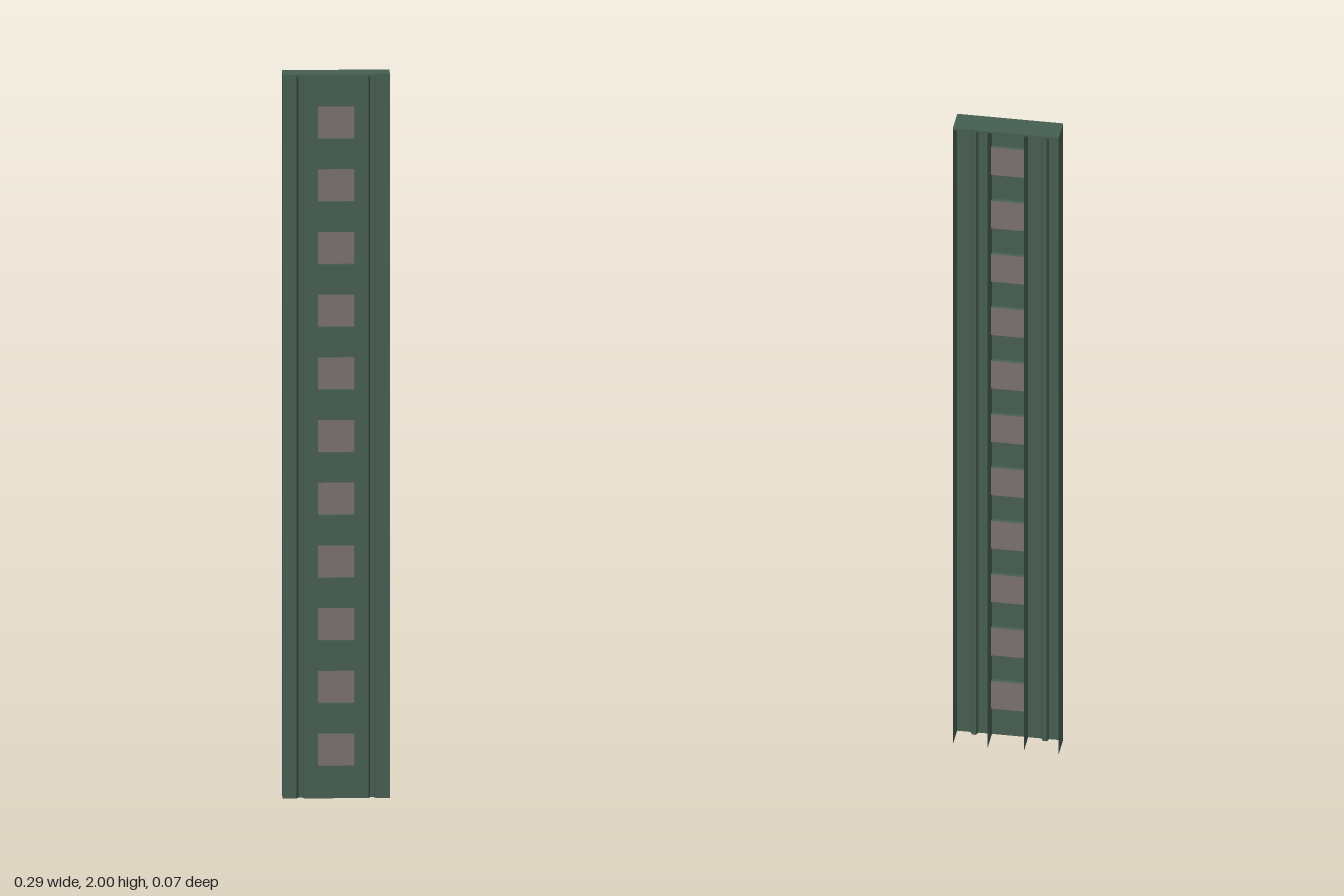
import * as THREE from 'three';

const W = 0.146, BACK = -0.037, FRONT = 0.033, LIP = 0.036, H = 2;
const RIB = 0.05, PANE_Z = 0.022, PANE_H = 0.09, COUNT = 11, FIRST = 0.134, STEP = 0.1732;

const green = new THREE.MeshStandardMaterial({ color: 0x465e52, side: THREE.DoubleSide, flatShading: true });
const glass = new THREE.MeshStandardMaterial({ color: 0x7a7070, side: THREE.DoubleSide, flatShading: true });

// Upright sheet following a list of [x, z] points
function sheet(points) {
  const pos = [];
  for (let i = 0; i < points.length - 1; i++) {
    const [ax, az] = points[i], [bx, bz] = points[i + 1];
    pos.push(ax, 0, az, bx, 0, bz, bx, H, bz, ax, 0, az, bx, H, bz, ax, H, az);
  }
  const g = new THREE.BufferGeometry();
  g.setAttribute('position', new THREE.Float32BufferAttribute(pos, 3));
  g.computeVertexNormals();
  return g;
}

export function createModel() {
  const model = new THREE.Group();
  const add = (name, geometry, material = green, parent = model) => {
    const mesh = new THREE.Mesh(geometry, material);
    mesh.name = name;
    parent.add(mesh);
    return mesh;
  };

  // Centre plate with a column of openings
  const plate = new THREE.Shape();
  plate.moveTo(-0.087, 0).lineTo(0.087, 0).lineTo(0.087, H).lineTo(-0.087, H).closePath();
  const rows = Array.from({ length: COUNT }, (_, i) => FIRST + i * STEP);
  for (const y of rows) {
    const lo = y - PANE_H / 2, hi = y + PANE_H / 2;
    const hole = new THREE.Path();
    hole.moveTo(-RIB, lo).lineTo(-RIB, hi).lineTo(RIB, hi).lineTo(RIB, lo).closePath();
    plate.holes.push(hole);
  }
  add('frontPlate', new THREE.ShapeGeometry(plate)).position.z = FRONT;

  // Edge strips with a groove, outer flanges and inner ribs
  for (const [side, s] of [['left', 1], ['right', -1]]) {
    add(side + 'Flange', sheet([
      [s * 0.087, FRONT], [s * 0.092, FRONT - 0.012], [s * 0.103, FRONT - 0.012],
      [s * 0.108, FRONT], [s * W, FRONT], [s * W, BACK],
    ]));
    add(side + 'Rib', sheet([[s * RIB, FRONT], [s * RIB, BACK]]));
  }

  // Recessed panes with a sill above and below
  const depth = FRONT - PANE_Z;
  rows.forEach((y, i) => {
    const window = new THREE.Group();
    window.name = 'window' + (i + 1);
    window.position.y = y;
    add('pane', new THREE.PlaneGeometry(RIB * 2, PANE_H), glass, window).position.z = PANE_Z;
    for (const s of [1, -1]) {
      const sill = add(s > 0 ? 'topReveal' : 'bottomReveal', new THREE.PlaneGeometry(RIB * 2, depth), green, window);
      sill.rotation.x = s * Math.PI / 2;
      sill.position.set(0, s * PANE_H / 2, PANE_Z + depth / 2);
    }
    model.add(window);
  });

  // Thin cap closing the top
  const cap = add('topCap', new THREE.BoxGeometry(W * 2, 0.005, LIP - BACK));
  cap.position.set(0, H - 0.0025, (LIP + BACK) / 2);

  return model;
}
